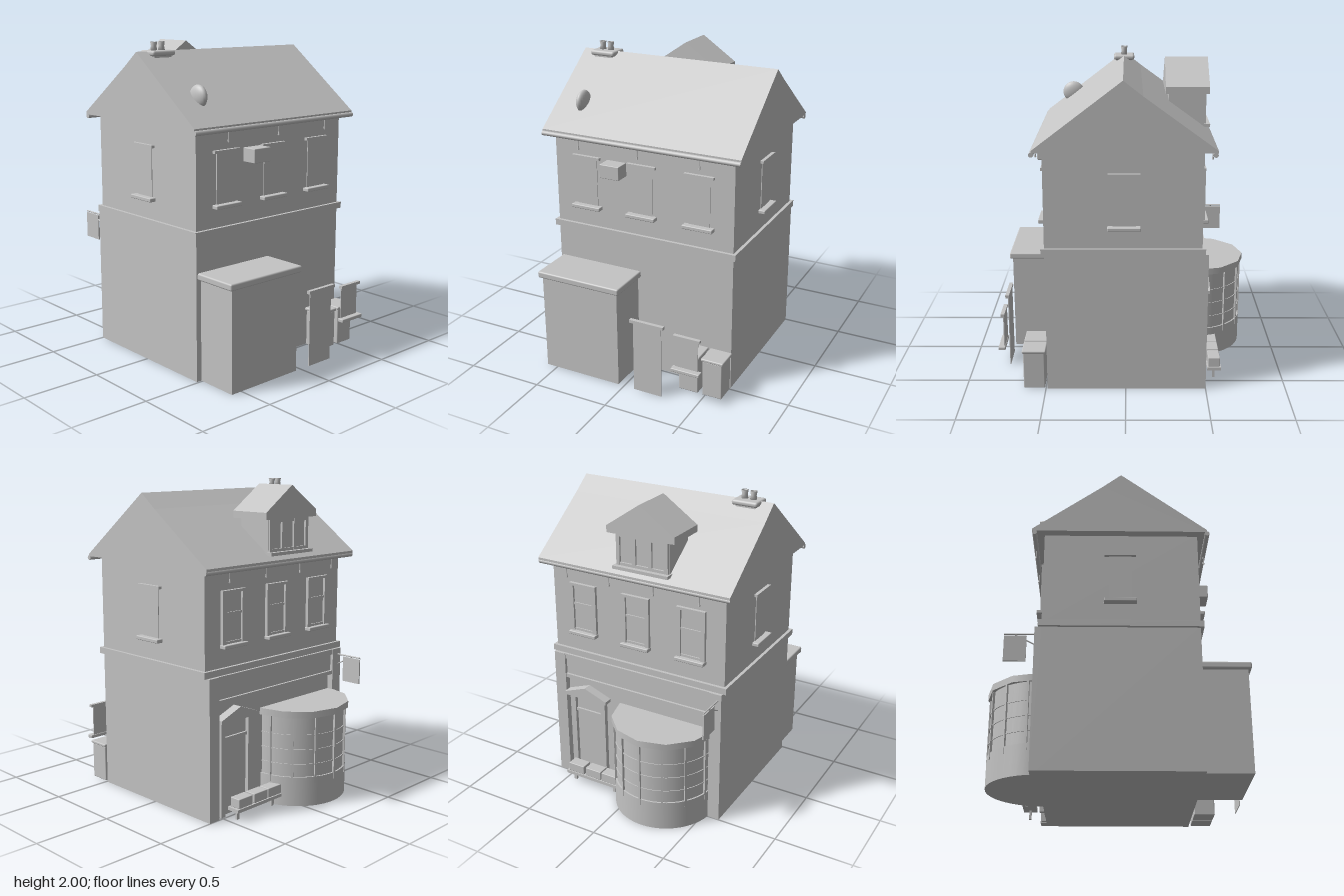
import * as THREE from 'three';
import { RoundedBoxGeometry } from 'three/addons/geometries/RoundedBoxGeometry.js';

export function createModel() {
  const root = new THREE.Group();
  root.name = 'townhouse';
  const grey = new THREE.MeshStandardMaterial({ color: 0xc4c4c4 });
  grey.name = 'plain grey';

  const add = (name, geo, parent = root) => {
    const m = new THREE.Mesh(geo, grey);
    m.name = name;
    parent.add(m);
    return m;
  };
  // box given by its limits on each axis
  const box = (name, x0, x1, y0, y1, z0, z1, parent = root, r = 0) => {
    const s = [x1 - x0, y1 - y0, z1 - z0];
    const g = r ? new RoundedBoxGeometry(...s, 2, r) : new THREE.BoxGeometry(...s);
    g.translate((x0 + x1) / 2, (y0 + y1) / 2, (z0 + z1) / 2);
    return add(name, g, parent);
  };
  const group = (name, x = 0, y = 0, z = 0, ry = 0, parent = root) => {
    const g = new THREE.Group();
    g.name = name;
    g.position.set(x, y, z);
    g.rotation.y = ry;
    parent.add(g);
    return g;
  };
  // polygon in (x, y) pushed along z from z0 to z1
  const prism = (name, pts, z0, z1, parent = root) => {
    const shape = new THREE.Shape(pts.map(p => new THREE.Vector2(...p)));
    const g = new THREE.ExtrudeGeometry(shape, { depth: z1 - z0, bevelEnabled: false });
    g.translate(0, 0, z0);
    return add(name, g, parent);
  };
  // thin rod between two points
  const rod = (name, a, b, r, parent = root) => {
    const A = new THREE.Vector3(...a), B = new THREE.Vector3(...b);
    const m = add(name, new THREE.CylinderGeometry(r, r, A.distanceTo(B), 10), parent);
    m.position.copy(A).add(B).multiplyScalar(0.5);
    m.quaternion.setFromUnitVectors(new THREE.Vector3(0, 1, 0), B.sub(A).normalize());
    return m;
  };

  // walls
  box('lowerWalls', -0.61, 0.61, 0, 0.9, -0.46, 0.49);
  box('upperWalls', -0.61, 0.61, 0.92, 1.54, -0.46, 0.49);
  box('stringCourse', -0.63, 0.63, 0.89, 0.93, -0.48, 0.51);

  // main roof: gable profile in (-z, y) turned to run along x
  const roof = prism('mainRoof', [[-0.546, 1.525], [0.535, 1.525], [0.535, 1.54], [0.1, 1.855],
    [-0.015, 1.945], [-0.546, 1.54]], -0.667, 0.667);
  roof.rotation.y = Math.PI / 2;

  // gutters and their hanging drips
  for (const [z, xs] of [[0.547, [-0.41, 0, 0.41]], [-0.52, [-0.465, -0.155, 0.155, 0.465]]]) {
    rod('gutter', [-0.667, 1.515, z], [0.667, 1.515, z], 0.015);
    for (const x of xs) {
      rod('dripStem', [x, 1.44, z], [x, 1.505, z], 0.003);
      add('dripTip', new THREE.ConeGeometry(0.007, 0.04, 8)).position.set(x, 1.465, z);
    }
  }

  // windows: built facing +z with the wall at z = 0
  const addWindow = (x, z, ry, framed) => {
    const w = group('window', x, 0, z, ry);
    box('sill', -0.1, 0.1, 1.046, 1.07, -0.01, 0.043, w, 0.005);
    box('lintel', -0.097, 0.097, 1.375, 1.392, -0.01, 0.022, w);
    box('glass', -0.07, 0.07, 1.07, 1.375, -0.01, 0.005, w);
    if (!framed) return;
    for (const s of [-1, 1]) {
      box('frameSide', s * 0.083 - 0.014, s * 0.083 + 0.014, 1.07, 1.375, -0.01, 0.02, w);
    }
    box('meetingRail', -0.07, 0.07, 1.245, 1.26, 0, 0.013, w);
    box('bottomRail', -0.07, 0.07, 1.07, 1.085, 0, 0.013, w);
  };
  for (const x of [-0.385, 0, 0.385]) {
    addWindow(x, 0.49, 0, false);
    addWindow(x, -0.46, Math.PI, true);
  }
  for (const s of [-1, 1]) addWindow(s * 0.61, 0.01, s * Math.PI / 2, false);

  // wall unit on the front
  box('wallUnit', -0.24, -0.107, 1.3, 1.387, 0.49, 0.588, root, 0.004);

  // chimney
  box('chimneyBase', -0.57, -0.44, 1.8, 1.92, -0.035, 0.065);
  box('chimneyCap', -0.59, -0.42, 1.917, 1.95, -0.055, 0.083, root, 0.014);
  const pot = [[0, 0], [0.022, 0], [0.017, 0.03], [0.022, 0.055], [0.014, 0.055], [0.012, 0.03], [0, 0.03]]
    .map(p => new THREE.Vector2(...p));
  for (const x of [-0.535, -0.477]) {
    add('chimneyPot', new THREE.LatheGeometry(pot, 16)).position.set(x, 1.945, 0.014);
  }

  // dish on the front slope
  const dish = add('roofDish', new THREE.SphereGeometry(1, 20, 14));
  dish.scale.set(0.033, 0.07, 0.072);
  dish.position.set(-0.478, 1.695, 0.36);

  // dormer on the back slope
  const dormer = group('dormer', -0.07, 0, 0);
  box('dormerWalls', -0.18, 0.18, 1.56, 1.8, -0.49, -0.27, dormer);
  prism('dormerRoof', [[-0.23, 1.785], [0.23, 1.785], [0.23, 1.828], [0, 1.985], [-0.23, 1.828]],
    -0.52, -0.247, dormer);
  box('dormerSill', -0.19, 0.19, 1.567, 1.587, -0.53, -0.45, dormer);
  for (const x of [-0.165, -0.055, 0.055, 0.165]) {
    box('dormerMullion', x - 0.012, x + 0.012, 1.587, 1.785, -0.503, -0.485, dormer);
  }
  for (const y of [1.587, 1.765]) box('dormerRail', -0.165, 0.165, y, y + 0.018, -0.502, -0.485, dormer);

  // shop front: pilasters and fascia
  for (const s of [-1, 1]) box('pilaster', s * 0.57 - 0.04, s * 0.57 + 0.04, 0, 0.89, -0.5, -0.45);
  box('fascia', -0.53, 0.53, 0.74, 0.86, -0.48, -0.45);
  box('fasciaTop', -0.53, 0.53, 0.855, 0.89, -0.495, -0.45);
  box('fasciaLip', -0.53, 0.53, 0.72, 0.745, -0.495, -0.45);

  // back door with pediment
  const door = group('backDoor', 0.37, 0, 0);
  box('doorPanel', -0.1, 0.1, 0.02, 0.6, -0.466, -0.455, door);
  for (const s of [-1, 1]) box('doorJamb', s * 0.115 - 0.017, s * 0.115 + 0.017, 0, 0.61, -0.49, -0.455, door);
  box('doorTransom', -0.1, 0.1, 0.48, 0.5, -0.48, -0.455, door);
  prism('pediment', [[-0.16, 0.605], [0.16, 0.605], [0.16, 0.625], [0, 0.685], [-0.16, 0.625]],
    -0.52, -0.455, door);

  // curved bay window
  const bay = group('bayWindow', -0.205, 0, -0.456);
  const arc = (name, r, y0, y1, seg) => {
    const g = new THREE.CylinderGeometry(r, r, y1 - y0, seg, 1, false, Math.PI / 2, Math.PI);
    add(name, g, bay).position.y = (y0 + y1) / 2;
  };
  arc('bayBase', 0.33, 0, 0.19, 24);
  arc('bayGlass', 0.32, 0.19, 0.58, 24);
  arc('bayRoof', 0.344, 0.575, 0.617, 6);
  for (const y of [0.27, 0.365, 0.46]) arc('bayTransom', 0.325, y - 0.004, y + 0.004, 24);
  for (let k = -3; k <= 3; k++) {
    const holder = group('bayMullion', 0, 0, 0, k * Math.PI / 7, bay);
    box('mullion', -0.006, 0.006, 0.148, 0.58, -0.333, -0.315, holder);
  }

  // bench with three crates
  box('benchPlank', 0.09, 0.48, 0.06, 0.08, -0.608, -0.52);
  for (const x of [0.13, 0.44]) box('benchLeg', x - 0.01, x + 0.01, 0, 0.06, -0.57, -0.555);
  for (const x of [0.147, 0.272, 0.405]) {
    box('crate', x - 0.059, x + 0.059, 0.08, 0.14, -0.602, -0.527, root, 0.004);
  }

  // hanging sign
  box('signBoard', -0.591, -0.581, 0.675, 0.84, -0.68, -0.546);
  rod('signArm', [-0.586, 0.85, -0.48], [-0.586, 0.85, -0.68], 0.005);
  rod('signStrut', [-0.586, 0.78, -0.49], [-0.586, 0.85, -0.62], 0.004);

  // front extension
  box('extensionWalls', -0.575, -0.04, 0, 0.64, 0.48, 0.763);
  box('extensionRoof', -0.6, -0.02, 0.635, 0.677, 0.48, 0.782, root, 0.01);

  // free-standing door and window panels at the front
  box('yardDoor', 0.073, 0.265, 0, 0.48, 0.76, 0.766);
  box('yardDoorLintel', 0.055, 0.284, 0.475, 0.495, 0.756, 0.78);
  box('yardWindow', 0.362, 0.512, 0.245, 0.455, 0.76, 0.766);
  box('yardWindowLintel', 0.353, 0.528, 0.447, 0.465, 0.756, 0.78);
  box('yardWindowSill', 0.345, 0.535, 0.225, 0.248, 0.756, 0.8, root, 0.005);

  // bins
  for (const x of [0.388, 0.548]) {
    box('binBody', x - 0.065, x + 0.065, 0.005, 0.243, 0.505, 0.638, root, 0.006);
    box('binLid', x - 0.074, x + 0.074, 0.242, 0.262, 0.497, 0.645, root, 0.007);
  }
  return root;
}
